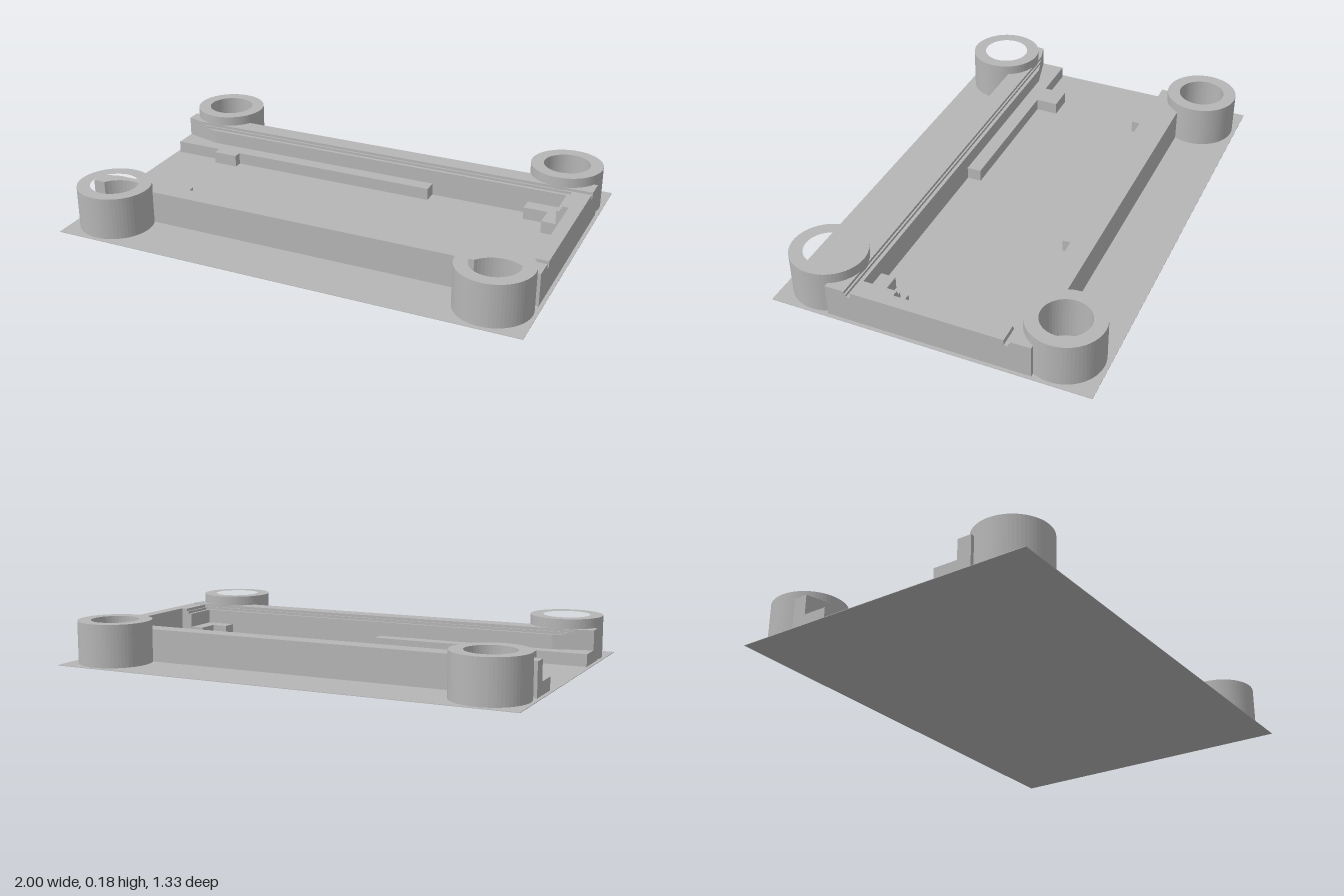
import * as THREE from 'three';

export function createModel() {
  const model = new THREE.Group();
  model.name = 'tray';
  const grey = new THREE.MeshStandardMaterial({ color: 0xb6b6b6 });
  grey.name = 'plain grey';

  const add = (name, geometry) => {
    const mesh = new THREE.Mesh(geometry, grey);
    mesh.name = name;
    model.add(mesh);
    return mesh;
  };

  // Raise a floor outline of [x, z] points from y0 to y1; side = -1 mirrors it in z
  const raise = (name, points, y0, y1, side = 1, hole) => {
    const shape = new THREE.Shape(points.map(([x, z]) => new THREE.Vector2(x, -z * side)));
    if (hole) shape.holes.push(new THREE.Path(hole.map(([x, z]) => new THREE.Vector2(x, -z * side))));
    const geometry = new THREE.ExtrudeGeometry(shape, { depth: y1 - y0, bevelEnabled: false });
    geometry.rotateX(-Math.PI / 2).translate(0, y0, 0);
    return add(name, geometry);
  };

  const arc = (cx, cz, r, from, to, n) => Array.from({ length: n + 1 }, (_, i) => {
    const a = from + (to - from) * i / n;
    return [cx + r * Math.cos(a), cz + r * Math.sin(a)];
  });

  const END = 0.985, POST_X = 0.83, POST_Z = 0.493;
  const WALL_OUT = 0.423, FLOOR = 0.002;
  // Height levels of the stepped rim: [bottom, top, inset from the inner face]
  const levels = [[0, 0.117, 0], [0.117, 0.128, 0.015], [0.128, 0.14, 0.023]];

  // Thin floor plate
  add('floorPlate', new THREE.BoxGeometry(2, FLOOR, 1.33).translate(0, FLOOR / 2, 0));

  for (const side of [1, -1]) {
    const sideName = side > 0 ? 'front' : 'back';

    // Hollow corner posts
    for (const x of [POST_X, -POST_X]) {
      const outer = arc(x, POST_Z, 0.155, 0, Math.PI * 2, 64).slice(0, -1);
      const inner = arc(x, POST_Z, 0.1, 0, Math.PI * 2, 48).slice(0, -1);
      raise(sideName + 'Post', outer, 0, 0.182, side, inner);
    }

    // Long wall: stepped rim, flared entry, and bites that keep the post bores clear
    const biteR = 0.125;
    const biteA = Math.asin((POST_Z - WALL_OUT) / biteR);
    const bite = (x) => arc(x, POST_Z, biteR, -biteA, -Math.PI + biteA, 16);
    for (const [y0, y1, inset] of levels) {
      const z = 0.318 + inset;
      raise(sideName + 'Wall', [
        [-END, 0.363], [-0.82 - inset / 0.045 * 0.165, z], [END, z], [END, WALL_OUT],
        ...bite(POST_X), ...bite(-POST_X), [-END, WALL_OUT],
      ], y0, y1, side);
    }

    // Low support ledge with a small tab
    const ledgeEnd = side > 0 ? -0.025 : 0.28;
    const tabZ = side > 0 ? 0.16 : 0.22;
    raise(sideName + 'Ledge', [
      [-END, 0.26], [-0.77, 0.26], [-0.77, tabZ], [-0.66, tabZ], [-0.66, 0.257],
      [ledgeEnd, 0.257], [ledgeEnd, 0.33], [-0.82, 0.33], [-END, 0.37],
    ], 0, 0.055, side);

    // L-shaped corner ledge
    const cornerX = side > 0 ? 0.75 : 0.715;
    raise(sideName + 'CornerLedge', [
      [cornerX, 0.255], [0.82, 0.255], [0.82, 0.16], [0.95, 0.16],
      [0.95, 0.33], [cornerX, 0.33],
    ], 0, 0.055, side);

    // Thick stepped shoulder of the end wall
    for (const [y0, y1, inset] of levels) {
      const x = 0.88 + inset;
      const z = y0 === 0 ? 0.33 : 0.316;
      raise(sideName + 'EndShoulder', [[x, 0.16], [END, 0.16], [END, z], [x, z]], y0, y1, side);
    }
  }

  // Thin middle of the end wall
  raise('endWall', [[0.93, -0.16], [END, -0.16], [END, 0.16], [0.93, 0.16]], 0, 0.14);

  return model;
}
